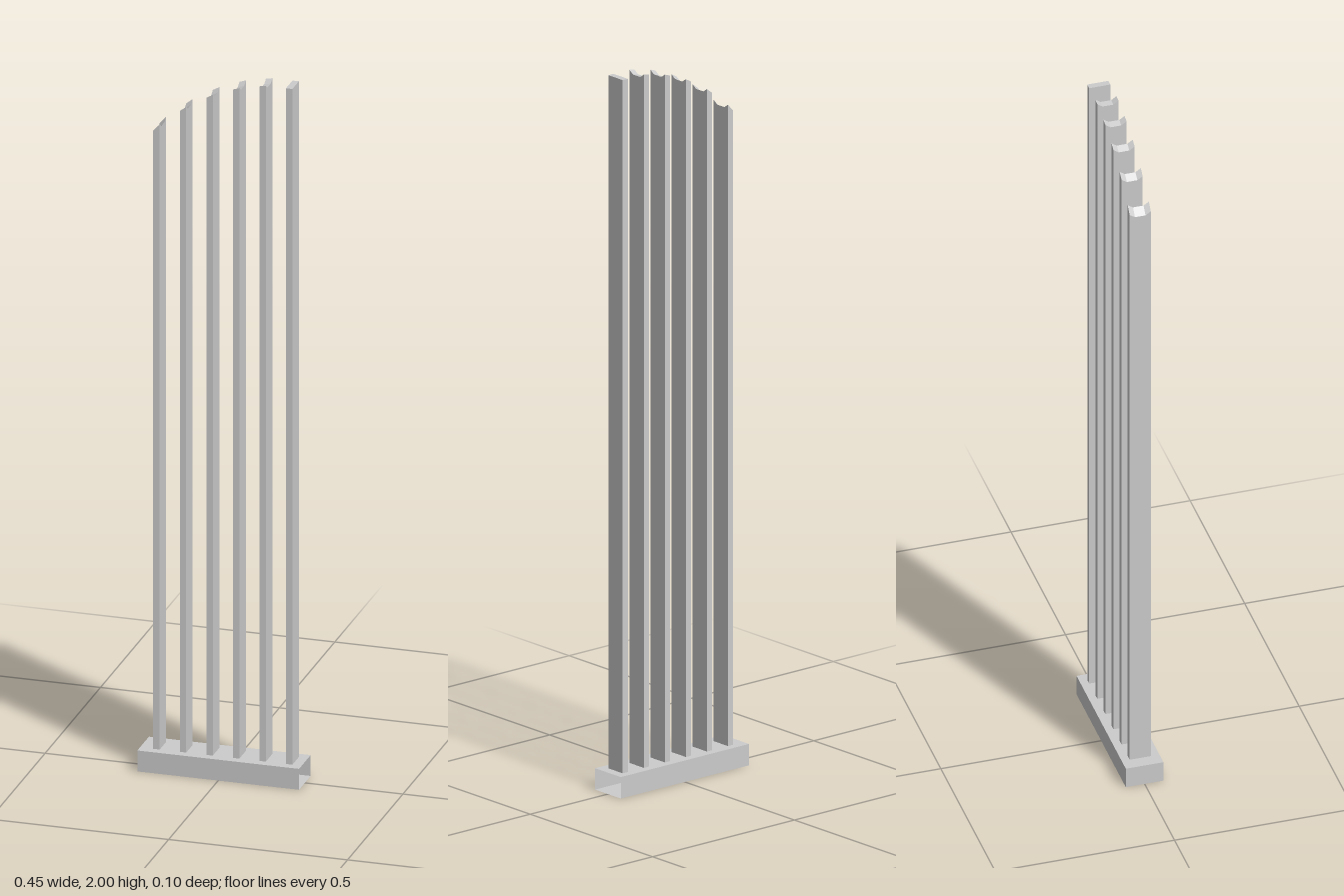
import * as THREE from 'three';

const BAR_W = 0.018, BAR_D = 0.059, BAR_BOTTOM = 0.05;

// Upright bar: side profile with a shallow notched top, sheared so the top slants across x
function barGeometry(low, high, notch) {
  const h = BAR_D / 2, top = (low + high) / 2;
  const s = new THREE.Shape();
  s.moveTo(-h, BAR_BOTTOM);
  s.lineTo(h, BAR_BOTTOM);
  s.lineTo(h, top);
  if (notch) {
    s.lineTo(h / 2, top - notch);
    s.lineTo(-h / 2, top - notch);
  }
  s.lineTo(-h, top);
  s.closePath();
  const geo = new THREE.ExtrudeGeometry(s, { depth: BAR_W, bevelEnabled: false });
  geo.translate(0, 0, -BAR_W / 2).rotateY(-Math.PI / 2);
  const p = geo.attributes.position;
  for (let i = 0; i < p.count; i++) {
    if (p.getY(i) > 1) p.setY(i, p.getY(i) + (p.getX(i) / BAR_W) * (high - low));
  }
  geo.computeVertexNormals();
  return geo;
}

export function createModel() {
  const group = new THREE.Group();
  const material = new THREE.MeshStandardMaterial({
    color: 0xcccccc, flatShading: true, side: THREE.DoubleSide,
  });

  // Hollow base, open at its left (+x) end: the box without its first face
  const baseGeo = new THREE.BoxGeometry(0.452, 0.06, 0.105);
  baseGeo.setIndex(Array.from(baseGeo.index.array).slice(6));
  baseGeo.clearGroups();
  const base = new THREE.Mesh(baseGeo, material);
  base.name = 'base';
  base.position.y = 0.03;
  group.add(base);

  // Row of six bars whose tops follow an arc; the last one is cut flat
  const tops = [[1.835, 1.855], [1.9, 1.914], [1.947, 1.957], [1.979, 1.985], [1.997, 2], [2, 2]];
  tops.forEach(([low, high], i) => {
    const bar = new THREE.Mesh(barGeometry(low, high, i < 5 ? 0.01 : 0), material);
    bar.name = `bar${i + 1}`;
    bar.position.set(-0.18 + i * 0.0742, 0, -0.001);
    group.add(bar);
  });

  return group;
}
